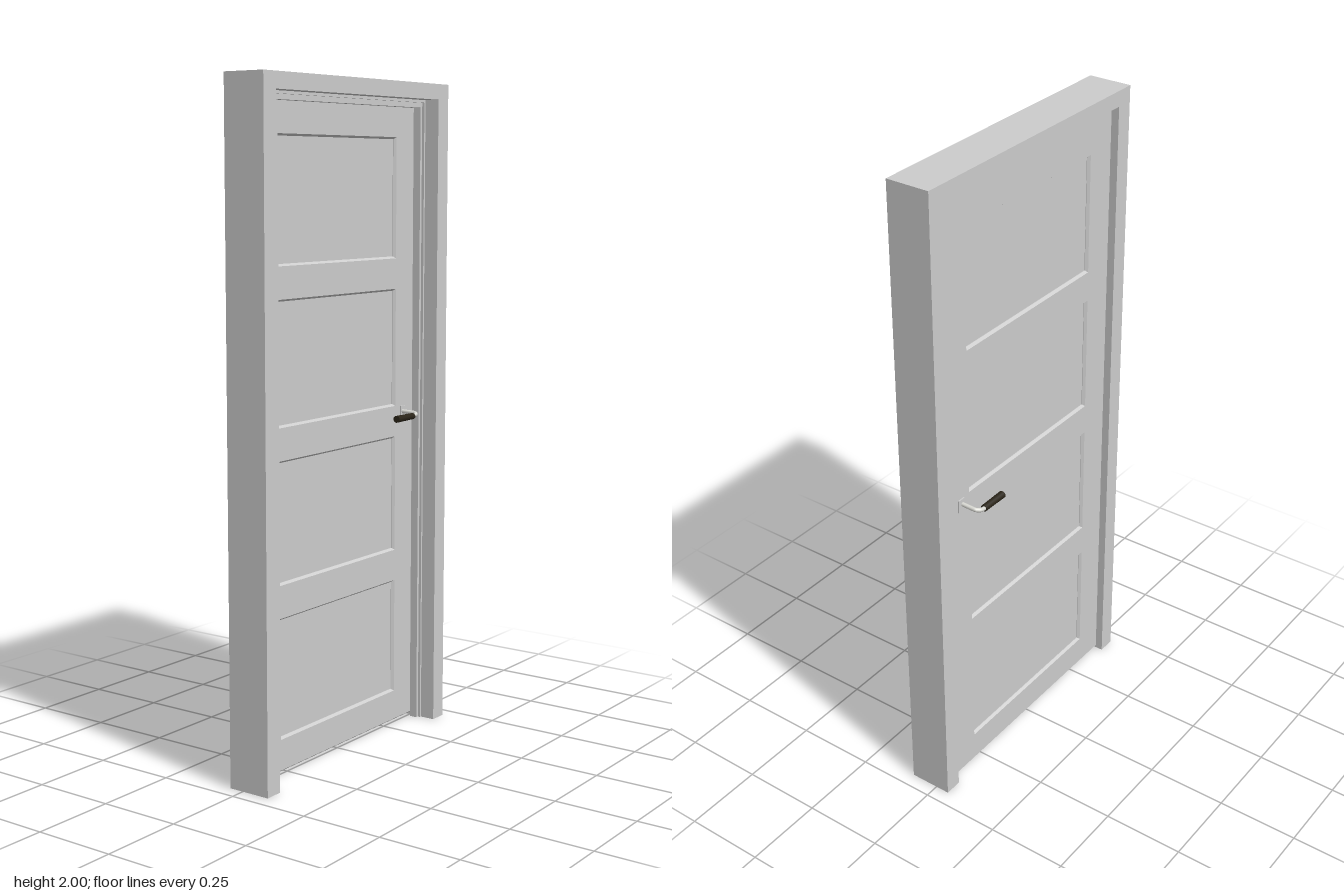
import * as THREE from 'three';

const mat = (name, color) => {
  const m = new THREE.MeshStandardMaterial({ color });
  m.name = name;
  return m;
};

// Rectangle outline, half width w, from y0 to y1
function rect(Type, w, y0, y1) {
  const s = new Type();
  s.moveTo(-w, y0);
  s.lineTo(w, y0);
  s.lineTo(w, y1);
  s.lineTo(-w, y1);
  s.closePath();
  return s;
}

// Extrudes a (z, y) shape along x, starting at x0
function extrudeX(shape, x0, options) {
  const geo = new THREE.ExtrudeGeometry(shape, { bevelEnabled: false, ...options });
  geo.rotateY(Math.PI / 2);
  geo.translate(x0, 0, 0);
  return geo;
}

// Upside-down U around the opening
function surround(outerW, outerTop, innerW, innerTop, x0, x1) {
  const s = new THREE.Shape();
  [[-outerW, 0], [-innerW, 0], [-innerW, innerTop], [innerW, innerTop],
    [innerW, 0], [outerW, 0], [outerW, outerTop], [-outerW, outerTop]]
    .forEach(([z, y], i) => (i ? s.lineTo(z, y) : s.moveTo(z, y)));
  s.closePath();
  return extrudeX(s, x0, { depth: x1 - x0 });
}

export function createModel() {
  const model = new THREE.Group();
  model.name = 'door';
  const paint = mat('grey paint', 0xcccccc);
  const metal = mat('pale metal', 0xdcdcd6);
  const dark = mat('dark grip', 0x2a2418);

  const add = (name, geo, material, parent = model) => {
    const mesh = new THREE.Mesh(geo, material);
    mesh.name = name;
    parent.add(mesh);
    return mesh;
  };

  // Frame with its stepped door stop
  add('frame', surround(0.455, 2, 0.4, 1.953, -0.045, 0.09), paint);
  add('doorStop', surround(0.402, 1.955, 0.385, 1.93, 0.01, 0.035), paint);
  add('sealStrip', surround(0.402, 1.955, 0.394, 1.945, 0.035, 0.043), paint);

  // Leaf with four bevelled openings
  const xBack = -0.025, thick = 0.035, bevel = 0.008;
  const rows = [[0.108, 0.468], [0.565, 0.925], [1.02, 1.382], [1.475, 1.84]];
  const leaf = rect(THREE.Shape, 0.393, 0.016, 1.945);
  rows.forEach(([a, b]) => leaf.holes.push(rect(THREE.Path, 0.292, a, b)));
  add('leaf', extrudeX(leaf, xBack + bevel, {
    depth: thick - 2 * bevel, bevelEnabled: true, bevelThickness: bevel,
    bevelSize: 0.006, bevelSegments: 1,
  }), paint);

  // Recessed panels
  const xMid = xBack + thick / 2;
  for (const [a, b] of rows) {
    const panel = add('panel', new THREE.BoxGeometry(0.016, b - a, 0.584), paint);
    panel.position.set(xMid, (a + b) / 2, 0);
  }

  // A lever handle on each side
  for (const side of [-1, 1]) {
    const handle = new THREE.Group();
    handle.name = side < 0 ? 'backHandle' : 'frontHandle';
    const at = (d, y, z) => new THREE.Vector3(xMid + side * d, y, z);

    const rose = add('rose', new THREE.BoxGeometry(0.004, 0.04, 0.026), paint, handle);
    rose.position.copy(at(thick / 2 + 0.002, 0.997, -0.332));

    const neck = new THREE.CurvePath();
    const p = [at(0.01, 1.0, -0.328), at(0.066, 0.998, -0.328), at(0.078, 0.996, -0.318), at(0.077, 0.992, -0.295)];
    for (let i = 0; i < 3; i++) neck.add(new THREE.LineCurve3(p[i], p[i + 1]));
    add('neck', new THREE.TubeGeometry(neck, 18, 0.0065, 8), metal, handle);

    const grip = add('grip', new THREE.CylinderGeometry(0.012, 0.011, 0.088, 10), dark, handle);
    grip.scale.z = 0.9;
    grip.rotation.x = Math.PI / 2;
    grip.position.copy(at(0.0755, 0.992, -0.257));
    model.add(handle);
  }
  return model;
}
